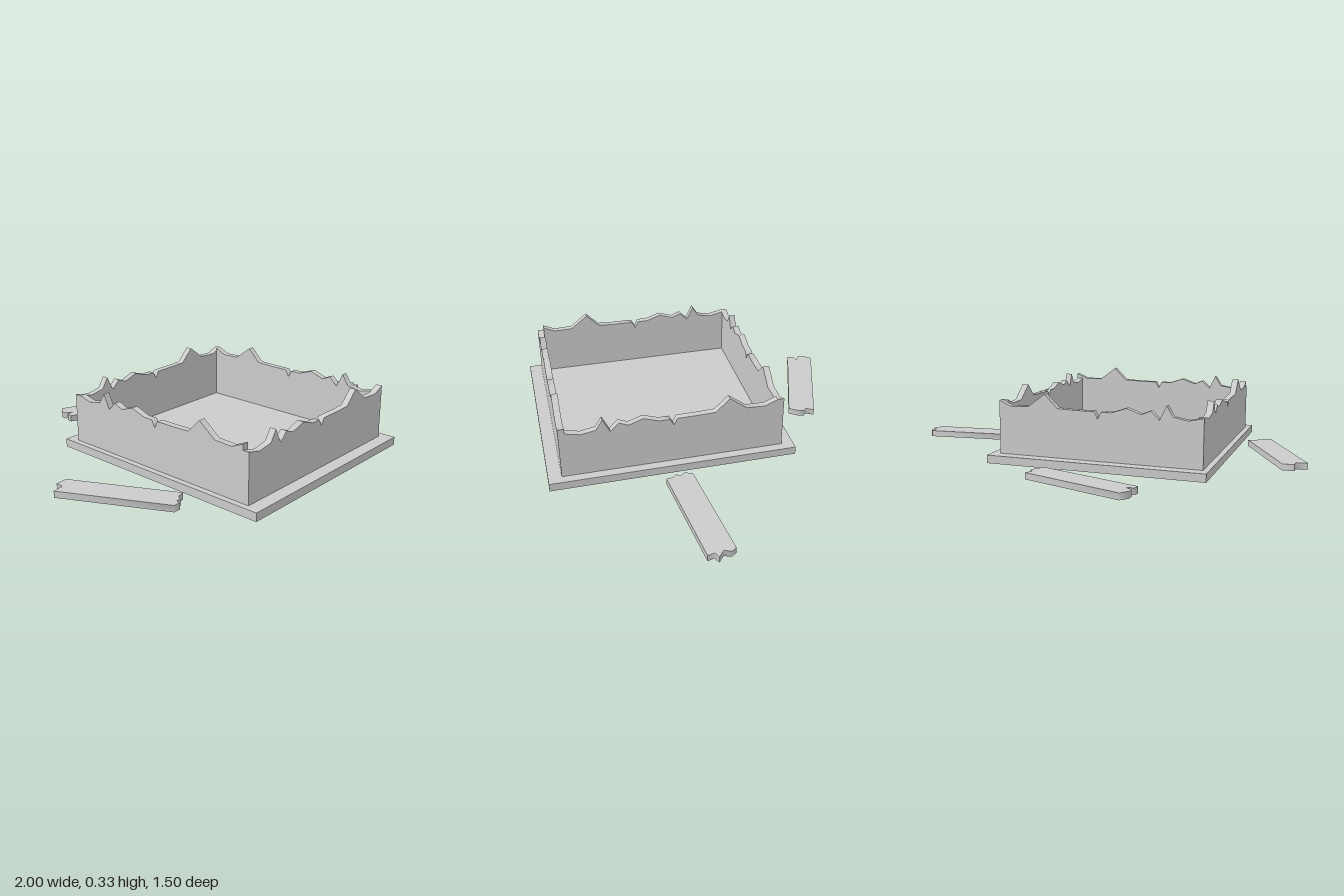
import * as THREE from 'three';
import { toCreasedNormals } from 'three/addons/utils/BufferGeometryUtils.js';

const material = new THREE.MeshStandardMaterial({ color: 0xcccccc, side: THREE.DoubleSide });

// Broken upper edge of a wall: [fraction along the wall, height]
const brokenEdge = [
  [0, 0.265], [0.07, 0.25], [0.14, 0.262], [0.172, 0.31], [0.205, 0.245], [0.245, 0.283],
  [0.29, 0.265], [0.36, 0.288], [0.433, 0.264], [0.483, 0.264], [0.5, 0.232], [0.517, 0.264],
  [0.62, 0.265], [0.7, 0.268], [0.765, 0.33], [0.85, 0.268], [0.94, 0.265], [1, 0.29],
];

// Footprints of the loose planks as [x, z]
const plankOutlines = {
  backPlank: [
    [-0.36, -0.75], [0.12, -0.585], [0.1, -0.55], [0.115, -0.535], [0.11, -0.51], [0.08, -0.468],
    [-0.4, -0.63], [-0.395, -0.66], [-0.36, -0.665], [-0.39, -0.685], [-0.39, -0.715],
  ],
  leftPlank: [
    [0.465, 0.118], [0.963, 0.064], [0.98, 0.086], [0.968, 0.118], [1, 0.144], [0.973, 0.155],
    [0.98, 0.187], [0.476, 0.241], [0.471, 0.209], [0.455, 0.193], [0.468, 0.176], [0.45, 0.155],
  ],
  rightPlank: [
    [-1, 0], [-0.947, -0.01], [-0.947, -0.048], [-0.893, -0.053], [-0.663, 0.401],
    [-0.7, 0.412], [-0.711, 0.433], [-0.733, 0.433], [-0.738, 0.455], [-0.77, 0.455],
  ],
};

const LIFT = 0.002; // the box sits a hair above the planks' lower edge
const BASE_TOP = 0.04;
const WALL = 0.03;

// Smooth splintered edges, sharp corners
function extrude(points, depth) {
  const shape = new THREE.Shape(points.map(([x, y]) => new THREE.Vector2(x, y)));
  const geometry = new THREE.ExtrudeGeometry(shape, { depth, bevelEnabled: false });
  return toCreasedNormals(geometry, 1.4);
}

// Leaves out the faces that point straight down, so the part is hollow underneath
function openBelow(geometry) {
  const flat = geometry.index ? geometry.toNonIndexed() : geometry;
  const { position, normal } = flat.attributes;
  const positions = [], normals = [];
  for (let i = 0; i < position.count; i++) {
    if (normal.getY(i) < -0.9) continue;
    positions.push(position.getX(i), position.getY(i), position.getZ(i));
    normals.push(normal.getX(i), normal.getY(i), normal.getZ(i));
  }
  const open = new THREE.BufferGeometry();
  open.setAttribute('position', new THREE.Float32BufferAttribute(positions, 3));
  open.setAttribute('normal', new THREE.Float32BufferAttribute(normals, 3));
  return open;
}

function addMesh(parent, name, geometry) {
  const mesh = new THREE.Mesh(geometry, material);
  mesh.name = name;
  parent.add(mesh);
  return mesh;
}

function addWall(parent, name, length, x, z, turn) {
  const bottom = BASE_TOP - 0.003;
  const top = brokenEdge.map(([t, y]) => [t * length, y]);
  const wall = addMesh(parent, name, extrude([[length, bottom], ...top.reverse(), [0, bottom]], WALL));
  wall.position.set(x, 0, z);
  wall.rotation.y = turn;
}

export function createModel() {
  const model = new THREE.Group();
  model.name = 'brokenCrate';

  // Base slab, hollow underneath
  const baseHeight = BASE_TOP - LIFT;
  const base = addMesh(model, 'base', openBelow(new THREE.BoxGeometry(1.027, baseHeight, 1.134)));
  base.position.set(-0.11, LIFT + baseHeight / 2, 0.181);

  // Four walls; the side walls fit between front and back
  const x0 = -0.597, x1 = 0.362, z0 = -0.33, z1 = 0.687;
  const sideLength = z1 - z0 - 2 * WALL;
  const walls = new THREE.Group();
  walls.name = 'walls';
  model.add(walls);
  addWall(walls, 'frontWall', x1 - x0, x0, z1 - WALL, 0);
  addWall(walls, 'backWall', x1 - x0, x0, z0, 0);
  addWall(walls, 'leftWall', sideLength, x1 - WALL, z1 - WALL, Math.PI / 2);
  addWall(walls, 'rightWall', sideLength, x0 + WALL, z0 + WALL, -Math.PI / 2);

  // Splintered planks lying flat around the box, hollow underneath
  for (const [name, outline] of Object.entries(plankOutlines)) {
    const plank = extrude(outline.map(([x, z]) => [x, -z]), 0.03).rotateX(-Math.PI / 2);
    addMesh(model, name, openBelow(plank));
  }
  return model;
}
